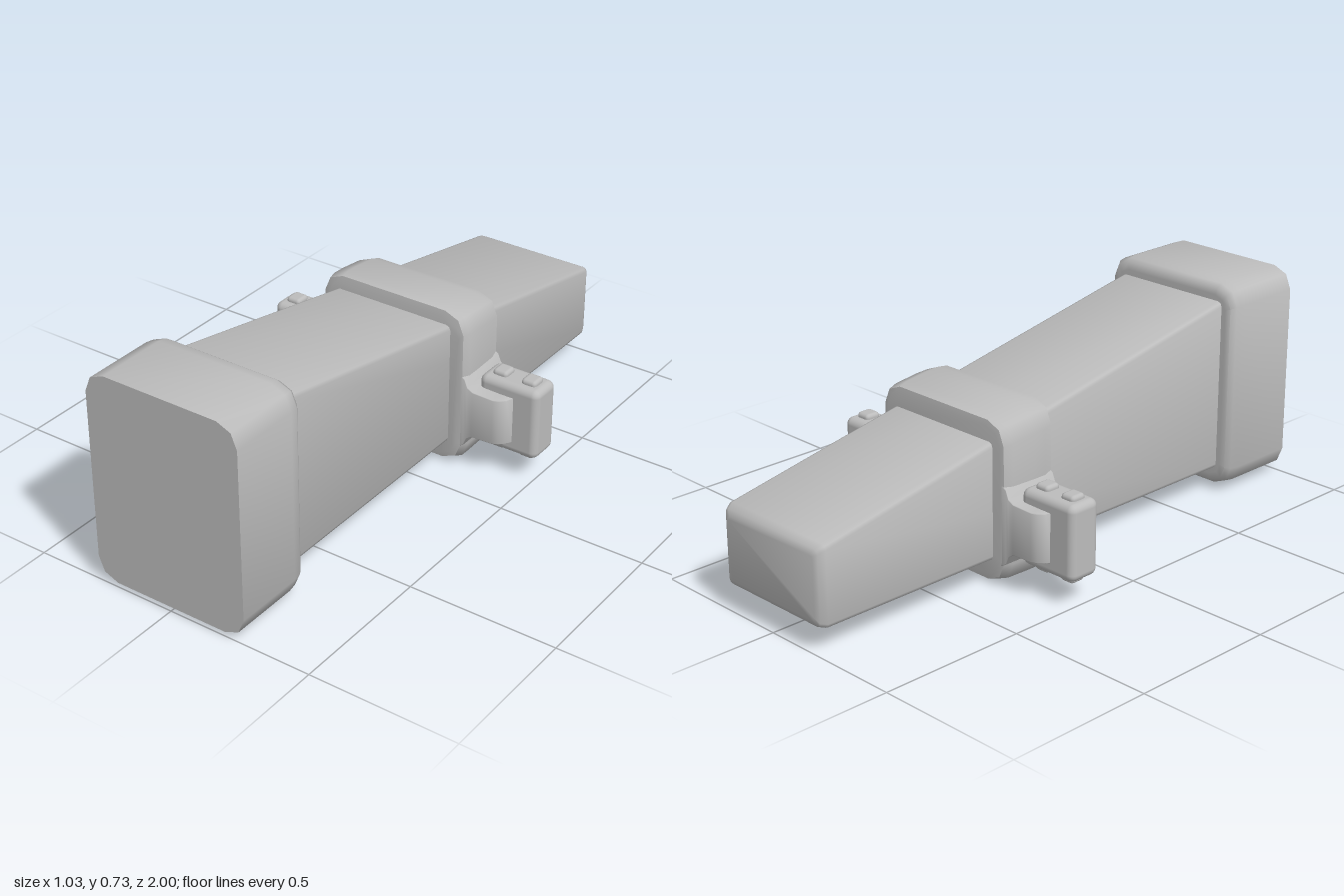
import * as THREE from 'three';
import { toCreasedNormals } from 'three/addons/utils/BufferGeometryUtils.js';
import { RoundedBoxGeometry } from 'three/addons/geometries/RoundedBoxGeometry.js';

// Outline of a rounded rectangle, counter-clockwise, two facets per corner
function outline({ w, y0, y1, r }) {
  const pts = [];
  const corners = [[w - r, y1 - r], [r - w, y1 - r], [r - w, y0 + r], [w - r, y0 + r]];
  corners.forEach(([cx, cy], q) => {
    for (let k = 0; k <= 2; k++) {
      const a = (q + k / 2) * Math.PI / 2;
      pts.push([cx + r * Math.cos(a), cy + r * Math.sin(a)]);
    }
  });
  return pts;
}

// Skin through rounded rectangles given as [z, halfWidth, bottom, top, cornerRadius], z ascending
function loft(sections) {
  const pos = [], idx = [], n = 12;
  for (const [z, w, y0, y1, r] of sections)
    for (const [x, y] of outline({ w, y0, y1, r })) pos.push(x, y, z);
  const last = (sections.length - 1) * n;
  for (let i = 0; i < last; i += n)
    for (let j = 0; j < n; j++) {
      const k = (j + 1) % n;
      idx.push(i + j, i + k, i + n + k, i + j, i + n + k, i + n + j);
    }
  for (let j = 1; j < n - 1; j++) idx.push(0, j + 1, j, last, last + j, last + j + 1);
  const g = new THREE.BufferGeometry();
  g.setAttribute('position', new THREE.Float32BufferAttribute(pos, 3));
  g.setIndex(idx);
  return toCreasedNormals(g, 0.9);
}

export function createModel() {
  const grey = new THREE.MeshStandardMaterial({ color: 0xbcbcbc });
  grey.name = 'grey';
  const model = new THREE.Group();
  model.name = 'headlamp';
  const add = (name, geometry, parent = model) => {
    const mesh = new THREE.Mesh(geometry, grey);
    mesh.name = name;
    parent.add(mesh);
    return mesh;
  };

  // Tapered housing with a softly rounded rear end
  add('housing', loft([
    [-1, 0.195, 0.105, 0.312, 0.012],
    [-0.992, 0.21, 0.088, 0.33, 0.014],
    [-0.97, 0.22, 0.08, 0.342, 0.016],
    [0.75, 0.22, 0.08, 0.673, 0.016],
  ]));

  // Large front cap, rounded at its back edge
  add('frontCap', loft([
    [0.71, 0.235, 0.055, 0.685, 0.045],
    [0.712, 0.256, 0.032, 0.708, 0.06],
    [0.73, 0.268, 0.019, 0.721, 0.068],
    [0.76, 0.272, 0.015, 0.725, 0.07],
    [1, 0.272, 0.015, 0.725, 0.07],
  ]));

  // Band around the housing
  add('band', loft([
    [-0.325, 0.25, 0.03, 0.515, 0.06],
    [-0.322, 0.265, 0.012, 0.533, 0.07],
    [-0.29, 0.272, 0.001, 0.543, 0.075],
    [-0.2, 0.274, 0, 0.553, 0.075],
    [-0.155, 0.274, 0, 0.555, 0.075],
    [-0.124, 0.266, 0.014, 0.552, 0.07],
    [-0.12, 0.25, 0.03, 0.53, 0.06],
  ]));

  // Arm, clip and pins on each side
  const armGeometry = loft([
    [0.25, 0.1, 0.07, 0.345, 0.003],
    [0.274, 0.1, 0.085, 0.33, 0.003],
    [0.285, 0.1, 0.112, 0.303, 0.003],
    [0.305, 0.1, 0.126, 0.292, 0.003],
    [0.38, 0.1, 0.128, 0.29, 0.003],
    [0.4, 0.091, 0.128, 0.29, 0.003],
    [0.417, 0.075, 0.128, 0.29, 0.003],
    [0.428, 0.052, 0.128, 0.29, 0.003],
  ]);
  const clipGeometry = new RoundedBoxGeometry(0.218, 0.25, 0.115, 3, 0.025);
  const pinGeometry = new RoundedBoxGeometry(0.054, 0.285, 0.056, 2, 0.013);
  for (const [side, s] of [['left', 1], ['right', -1]]) {
    const mount = new THREE.Group();
    mount.name = side + 'Mount';
    mount.position.z = -0.2235;
    model.add(mount);
    add(side + 'Arm', armGeometry, mount).rotation.y = s * Math.PI / 2;
    add(side + 'Clip', clipGeometry, mount).position.set(s * 0.406, 0.21, -0.004);
    for (const x of [0.355, 0.46])
      add(side + 'Pin', pinGeometry, mount).position.set(s * x, 0.209, -0.004);
  }
  return model;
}
